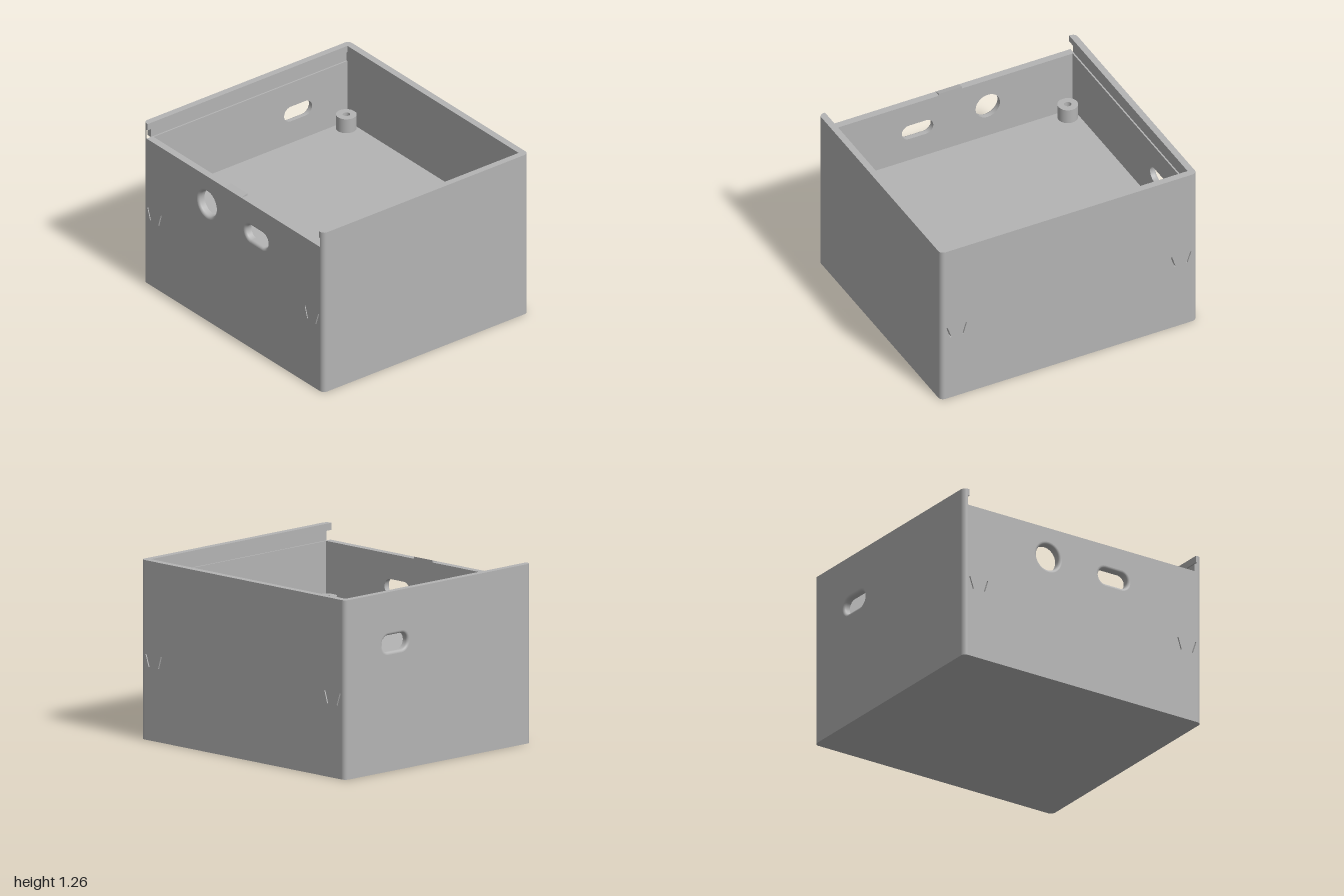
import * as THREE from 'three';
import { mergeGeometries } from 'three/addons/utils/BufferGeometryUtils.js';

const W = 1, D = 0.905, H = 1.265;       // half width, half depth, height
const R = 0.037;                         // corner radius
const FLOOR = 0.67, SILL = 1.145;        // inner floor, bottom of the lid groove
const IX = 0.952, WALL = 0.053;          // inner side face, front/back thickness
const FILLET = 0.02;

export function createModel() {
  const model = new THREE.Group();
  const grey = new THREE.MeshStandardMaterial({ color: 0xb4b4b4 });
  grey.name = 'grey plastic';

  const add = (name, geometry) => {
    const mesh = new THREE.Mesh(geometry, grey);
    mesh.name = name;
    model.add(mesh);
    return mesh;
  };
  const block = (name, x0, x1, y0, y1, z0, z1) =>
    add(name, new THREE.BoxGeometry(x1 - x0, y1 - y0, z1 - z0)
      .translate((x0 + x1) / 2, (y0 + y1) / 2, (z0 + z1) / 2));
  const rect = (x0, x1, y0, y1) => new THREE.Shape([
    new THREE.Vector2(x0, y0), new THREE.Vector2(x1, y0),
    new THREE.Vector2(x1, y1), new THREE.Vector2(x0, y1)]);

  // Counter-clockwise slot outline; half = 0 gives a circle
  const slot = ({ x, y, half, r }, offset = 0) => {
    const pts = [], n = 20;
    for (const side of [1, -1]) {
      for (let i = 0; i < n; i++) {
        const a = (side > 0 ? -Math.PI / 2 : Math.PI / 2) + Math.PI * i / (half ? n - 1 : n);
        pts.push(new THREE.Vector2(
          x + side * half + Math.cos(a) * (r + offset), y + Math.sin(a) * (r + offset)));
      }
    }
    return pts;
  };

  // Hole lining, rounded over at the outer face
  const bore = (hole, depth) => {
    const rings = [];
    for (let k = 0; k <= 6; k++) {
      const t = Math.PI / 2 * k / 6;
      rings.push([FILLET * (1 - Math.sin(t)), FILLET * (1 - Math.cos(t))]);
    }
    rings.push([0, depth]);
    const pos = [], uv = [], index = [];
    const n = slot(hole).length;
    rings.forEach(([offset, z], k) => {
      slot(hole, offset).forEach((p, i) => {
        pos.push(p.x, p.y, -z);
        uv.push(i / n, z);
        if (k === rings.length - 1) return;
        const a = k * n + i, b = k * n + (i + 1) % n;
        index.push(a, b, a + n, b, b + n, a + n);
      });
    });
    const g = new THREE.BufferGeometry();
    g.setAttribute('position', new THREE.Float32BufferAttribute(pos, 3));
    g.setAttribute('uv', new THREE.Float32BufferAttribute(uv, 2));
    g.setIndex(index);
    g.computeVertexNormals();
    return g;
  };

  // Wall with openings: outer skin at z = 0, inner skin behind it, top edge, linings
  const piercedWall = (name, half, thickness, holes) => {
    const outer = rect(-half, half, FLOOR, SILL), inner = rect(-half, half, FLOOR, SILL);
    for (const h of holes) {
      outer.holes.push(new THREE.Path(slot(h, FILLET)));
      // mirrored so the inner skin can be turned to face inwards
      inner.holes.push(new THREE.Path(slot({ ...h, x: -h.x })));
    }
    return add(name, mergeGeometries([
      new THREE.ShapeGeometry(outer),
      new THREE.ShapeGeometry(inner).rotateY(Math.PI).translate(0, 0, -thickness),
      new THREE.PlaneGeometry(2 * half, thickness).rotateX(-Math.PI / 2)
        .translate(0, SILL, -thickness / 2),
      ...holes.map(h => bore(h, thickness)),
    ]));
  };

  // Solid base with slanted slits running from front to back
  const base = rect(-W + R, W - R, 0, FLOOR);
  for (const s of [1, -1]) {
    for (const [top, bottom] of [[0.8, 0.827], [0.95, 0.92]]) {
      const w = 0.005;
      base.holes.push(new THREE.Path([
        new THREE.Vector2(s * top - w, 0.605), new THREE.Vector2(s * top + w, 0.605),
        new THREE.Vector2(s * bottom + w, 0.517), new THREE.Vector2(s * bottom - w, 0.517)]));
    }
  }
  add('base', new THREE.ExtrudeGeometry(base, { depth: 2 * D, bevelEnabled: false })
    .translate(0, 0, -D));

  // Front wall with a round and an oblong opening
  piercedWall('frontWall', W - R, WALL, [
    { x: -0.29, y: 0.925, half: 0, r: 0.095 },
    { x: 0.258, y: 0.91, half: 0.065, r: 0.058 },
  ]).position.z = D;

  // Side wall with one oblong opening, and the plain walls
  const rightWall = piercedWall('piercedSideWall', D - R, W - IX, [
    { x: -0.42, y: 0.9, half: 0.065, r: 0.058 }]);
  rightWall.rotation.y = -Math.PI / 2;
  rightWall.position.x = -W;
  block('plainSideWall', IX, W, FLOOR, SILL, -D + R, D - R);
  block('backWall', -W + R, W - R, FLOOR, H, -D, -D + WALL - 0.002);

  // Base flanks, lid grooves with overhanging lips, mirrored
  for (const s of [1, -1]) {
    const span = (name, a, b, ...rest) =>
      block(name, Math.min(s * a, s * b), Math.max(s * a, s * b), ...rest);
    span('baseFlank', W - R, W, 0, FLOOR, -D + R, D - R);
    span('grooveWall', W - R, W, SILL, H, -D + R, D - R);
    span('grooveLip', IX, W - R, 1.215, H, -D, D);
  }

  // Rounded vertical corners
  [[1, 1], [1, -1], [-1, -1], [-1, 1]].forEach(([sx, sz], i) => {
    add('corner', new THREE.CylinderGeometry(R, R, H, 10, 1, false, i * Math.PI / 2, Math.PI / 2)
      .translate(sx * (W - R), H / 2, sz * (D - R)));
  });

  // Ramped catch for the lid on the front sill
  const ramp = new THREE.Shape([
    new THREE.Vector2(-D, SILL), new THREE.Vector2(-D + WALL, SILL),
    new THREE.Vector2(-D + WALL, SILL + 0.015)]);
  add('lidCatch', new THREE.ExtrudeGeometry(ramp, { depth: 0.18, bevelEnabled: false })
    .rotateY(Math.PI / 2).translate(-0.09, 0, 0));

  // Screw posts in the four inner corners
  const r = 0.072, hole = 0.025, top = 0.78;
  const post = mergeGeometries([
    new THREE.CylinderGeometry(r, r, top - FLOOR, 32, 1, true).translate(0, (top + FLOOR) / 2, 0),
    new THREE.RingGeometry(hole, r, 32).rotateX(-Math.PI / 2).translate(0, top, 0),
    new THREE.LatheGeometry([new THREE.Vector2(hole, top), new THREE.Vector2(hole, FLOOR)], 24),
  ]);
  for (const x of [-0.877, 0.877]) {
    for (const z of [-0.785, 0.783]) add('screwPost', post).position.set(x, 0, z);
  }
  return model;
}
